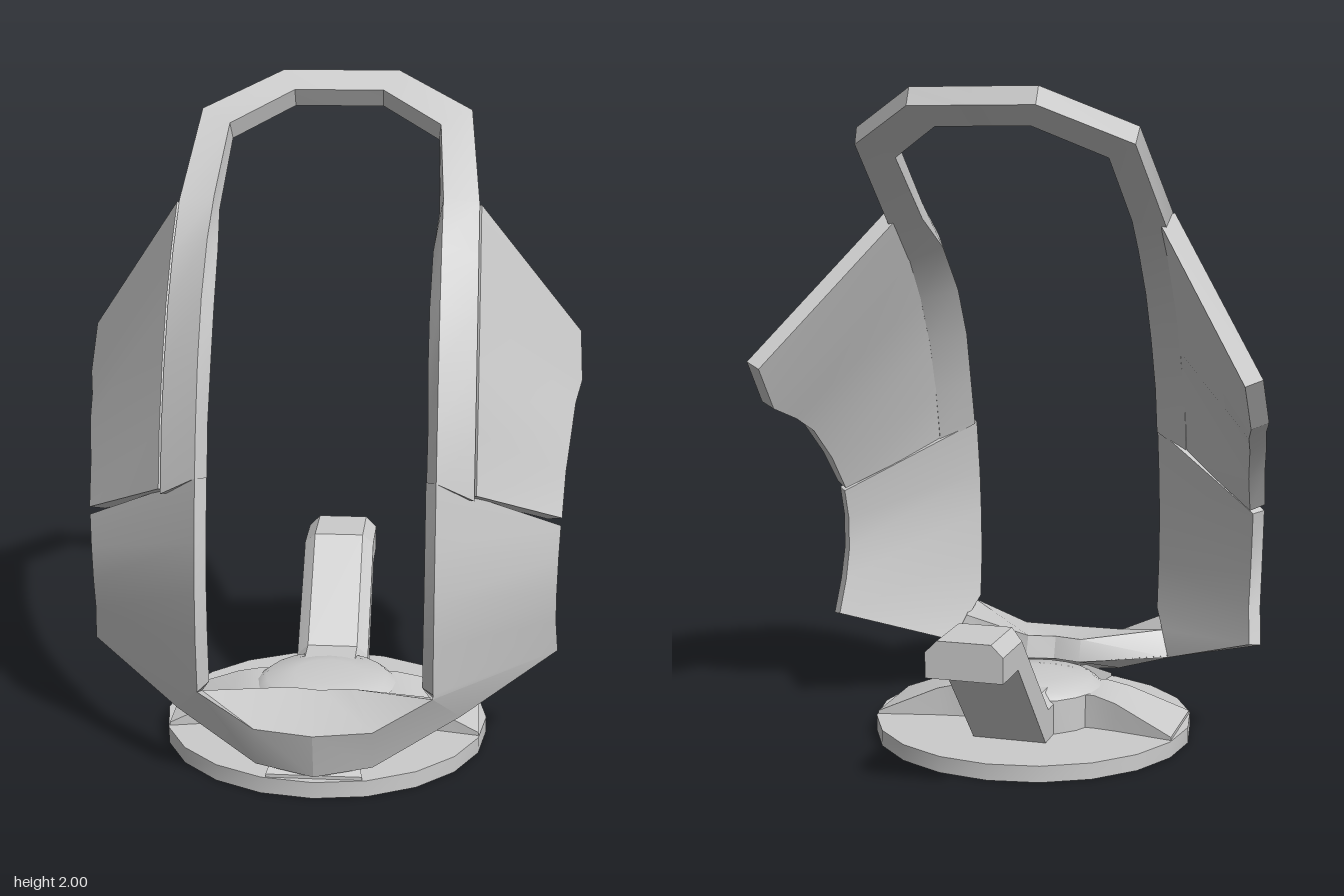
import * as THREE from 'three';
import { toCreasedNormals } from 'three/addons/utils/BufferGeometryUtils.js';

const material = new THREE.MeshStandardMaterial({ color: 0xcccccc });
const V = (p) => new THREE.Vector3(...p);

// Skin through convex rings (counter-clockwise seen from the far end), capped at both ends
function loft(rings) {
  const pos = [];
  const tri = (...pts) => pts.forEach((p) => pos.push(p.x, p.y, p.z));
  const n = rings[0].length;
  for (let k = 0; k + 1 < rings.length; k++) {
    const a = rings[k], b = rings[k + 1];
    for (let i = 0; i < n; i++) {
      const j = (i + 1) % n;
      tri(a[i], a[j], b[j]);
      tri(a[i], b[j], b[i]);
    }
  }
  const first = rings[0], last = rings[rings.length - 1];
  for (let i = 1; i + 1 < n; i++) {
    tri(first[0], first[i + 1], first[i]);
    tri(last[0], last[i], last[i + 1]);
  }
  const g = new THREE.BufferGeometry();
  g.setAttribute('position', new THREE.Float32BufferAttribute(pos, 3));
  return toCreasedNormals(g, 0.5);
}

// Rings of a thick plate: each station is [inner edge, outer edge, (inner back, outer back)]
function plate(stations, thick) {
  const mid = (s) => V(s[0]).add(V(s[1])).multiplyScalar(0.5);
  return stations.map((s, k) => {
    const inner = V(s[0]), outer = V(s[1]);
    if (s[2]) return [inner, outer, V(s[3]), V(s[2])];
    const prev = stations[Math.max(k - 1, 0)];
    const next = stations[Math.min(k + 1, stations.length - 1)];
    const along = mid(next).sub(mid(prev));
    const back = outer.clone().sub(inner).cross(along).setLength(-thick);
    return [inner, outer, outer.clone().add(back), inner.clone().add(back)];
  });
}

const mirror = (rings) =>
  rings.map((r) => r.map((p) => new THREE.Vector3(-p.x, p.y, p.z)).reverse());

export function createModel() {
  const model = new THREE.Group();
  const add = (name, geometry) => {
    const mesh = new THREE.Mesh(geometry, material);
    mesh.name = name;
    model.add(mesh);
    return mesh;
  };
  const addPair = (name, rings) => {
    add(name + 'Left', loft(rings));
    add(name + 'Right', loft(mirror(rings)));
  };
  const baseZ = 0.09;

  // Round foot
  const disc = new THREE.CylinderGeometry(0.5, 0.5, 0.05, 20);
  add('baseDisc', toCreasedNormals(disc, 0.6)).position.set(0, 0.025, baseZ);

  // Domed hub on the foot
  const hubProfile = [[0.215, 0.04], [0.215, 0.155], [0.19, 0.175], [0.1, 0.185], [0, 0.188]];
  const hub = new THREE.LatheGeometry(hubProfile.map((p) => new THREE.Vector2(...p)), 20);
  add('hub', toCreasedNormals(hub, 0.6)).position.z = baseZ;

  // Flared ribs from hub to rim: left, front, right
  const ribRings = [[0.12, 0.09, 0.155], [0.22, 0.09, 0.155], [0.29, 0.1, 0.138], [0.475, 0.14, 0.06]]
    .map(([r, w, h]) => [[r, 0.04, w], [r, 0.04, -w], [r, h, -w], [r, h, w]].map(V));
  ['ribLeft', 'ribFront', 'ribRight'].forEach((name, i) => {
    const rib = add(name, loft(ribRings));
    rib.position.z = baseZ;
    rib.rotation.y = [0, -Math.PI / 2, Math.PI][i];
  });

  // Cranked rear arm with chamfered top edges: [top z, top y, bottom z, bottom y]
  const w = 0.115, c = 0.035;
  add('rearArm', loft([[0, 0.18, 0, 0.04], [-0.14, 0.18, -0.17, 0.04],
    [-0.415, 0.47, -0.47, 0.36], [-0.617, 0.47, -0.617, 0.36]].map(([tz, ty, bz, by]) => [
    [w, by, bz], [-w, by, bz], [-w, ty - c, tz + (bz - tz) * 0.3],
    [-w + c, ty, tz], [w - c, ty, tz], [w, ty - c, tz + (bz - tz) * 0.3],
  ].map(V))));

  // Chin running out into the lower side panel
  addPair('lowerFrame', plate([
    [[0, 0.203, 0.613], [0, 0.06, 0.575], [0, 0.235, 0.352], [0, 0.165, 0.33]],
    [[0.17, 0.21, 0.59], [0.17, 0.085, 0.55], [0.09, 0.235, 0.335], [0.09, 0.165, 0.31]],
    [[0.34, 0.295, 0.535], [0.42, 0.19, 0.41], [0.34, 0.26, 0.44], [0.37, 0.18, 0.395]],
    [[0.34, 0.31, 0.536], [0.71, 0.31, 0.167]],
    [[0.34, 0.46, 0.553], [0.7, 0.42, 0.205]],
    [[0.34, 0.6, 0.553], [0.698, 0.52, 0.236]],
    [[0.34, 0.75, 0.54], [0.7, 0.63, 0.24]],
    [[0.34, 0.93, 0.507], [0.705, 0.725, 0.22]],
  ], 0.045));

  // Upright bar bending back into the top arch
  addPair('upperFrame', plate([
    [[0.34, 0.93, 0.507], [0.447, 0.868, 0.46]],
    [[0.34, 1.08, 0.47], [0.447, 1.05, 0.42]],
    [[0.34, 1.25, 0.41], [0.447, 1.22, 0.35]],
    [[0.34, 1.41, 0.32], [0.447, 1.38, 0.26]],
    [[0.34, 1.56, 0.185], [0.447, 1.52, 0.15]],
    [[0.34, 1.665, 0.03], [0.447, 1.65, 0.015]],
    [[0.325, 1.855, -0.23], [0.42, 1.893, -0.31]],
    [[0.14, 1.945, -0.4], [0.185, 2, -0.51]],
    [[0, 1.945, -0.4], [0, 2, -0.51]],
  ], 0.058));

  // Side wings, set off from the frame by a narrow gap
  addPair('wing', plate([
    [[0.453, 0.882, 0.457], [0.708, 0.745, 0.21]],
    [[0.453, 1.05, 0.415], [0.72, 0.86, 0.115]],
    [[0.453, 1.22, 0.345], [0.74, 0.965, 0.01]],
    [[0.453, 1.38, 0.255], [0.755, 1.02, -0.1]],
    [[0.453, 1.52, 0.145], [0.78, 1.065, -0.215]],
    [[0.453, 1.645, 0.02], [0.778, 1.2, -0.322]],
  ], 0.055));

  return model;
}
